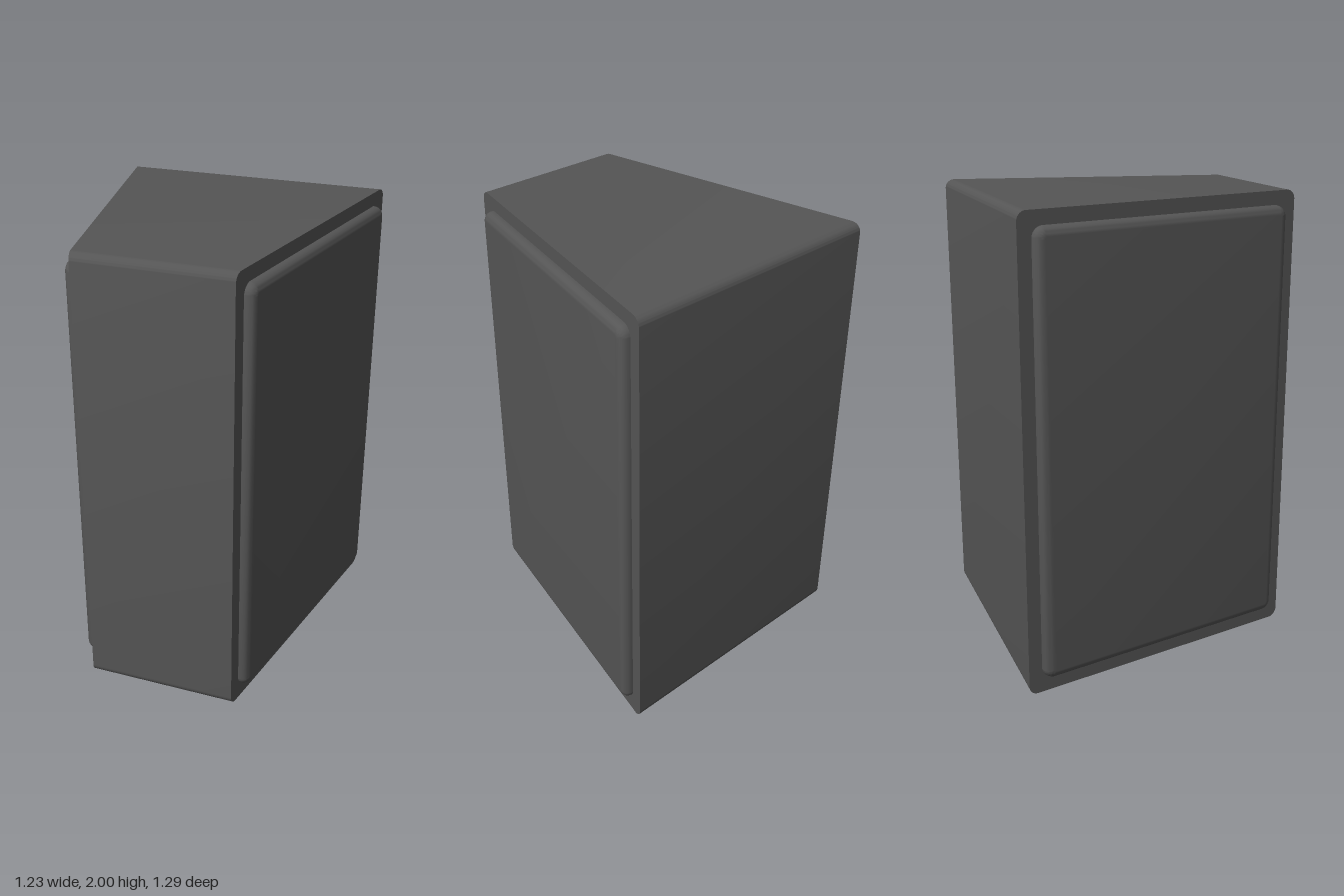
import * as THREE from 'three';
import { toCreasedNormals } from 'three/addons/utils/BufferGeometryUtils.js';

const HEIGHT = 2, HALF_DEPTH = 0.645, BACK_HALF = 0.592, FRONT_HALF = 0.332;
const SLOPE = Math.atan((BACK_HALF - FRONT_HALF) / (2 * HALF_DEPTH));

// Rectangle with rounded corners, centred on the origin
function roundedRect(w, h, r) {
  const s = new THREE.Shape(), x = w / 2 - r, y = h / 2 - r;
  s.absarc(x, y, r, 0, Math.PI / 2);
  s.absarc(-x, y, r, Math.PI / 2, Math.PI);
  s.absarc(-x, -y, r, Math.PI, Math.PI * 1.5);
  s.absarc(x, -y, r, Math.PI * 1.5, Math.PI * 2);
  s.closePath();
  return s;
}

export function createModel() {
  const model = new THREE.Group();
  model.name = 'wedgeSpeaker';
  const material = new THREE.MeshStandardMaterial({ color: 0x555555 });

  // Cabinet: rounded side profile extruded across, then narrowed towards the front
  const cabinetGeo = new THREE.ExtrudeGeometry(roundedRect(2 * HALF_DEPTH, HEIGHT, 0.04), {
    depth: 2, bevelEnabled: false, curveSegments: 8,
  });
  cabinetGeo.translate(0, 0, -1).rotateY(Math.PI / 2).translate(0, HEIGHT / 2, 0);
  const p = cabinetGeo.attributes.position;
  for (let i = 0; i < p.count; i++) {
    const t = (p.getZ(i) + HALF_DEPTH) / (2 * HALF_DEPTH);
    p.setX(i, p.getX(i) * THREE.MathUtils.lerp(BACK_HALF, FRONT_HALF, t));
  }
  const cabinet = new THREE.Mesh(toCreasedNormals(cabinetGeo, 0.6), material);
  cabinet.name = 'cabinet';
  model.add(cabinet);

  // Side panels: softly rounded slabs standing proud of the sloping sides
  const bevel = 0.036, rise = 0.041;
  const panelGeo = new THREE.ExtrudeGeometry(
    roundedRect(1.172 / Math.cos(SLOPE) - 2 * bevel, 1.875 - 2 * bevel, 0.012),
    { depth: 0.02, bevelSize: bevel, bevelThickness: bevel, bevelSegments: 6, curveSegments: 6 },
  );
  panelGeo.translate(0, 0, rise - 0.02 - bevel);
  const panelSmooth = toCreasedNormals(panelGeo, 0.6);
  for (const side of [1, -1]) {
    const panel = new THREE.Mesh(panelSmooth, material);
    panel.name = side > 0 ? 'leftPanel' : 'rightPanel';
    panel.position.set(side * (BACK_HALF + FRONT_HALF) / 2, 1.003, 0);
    panel.rotation.y = side * (Math.PI / 2 - SLOPE);
    model.add(panel);
  }
  return model;
}
